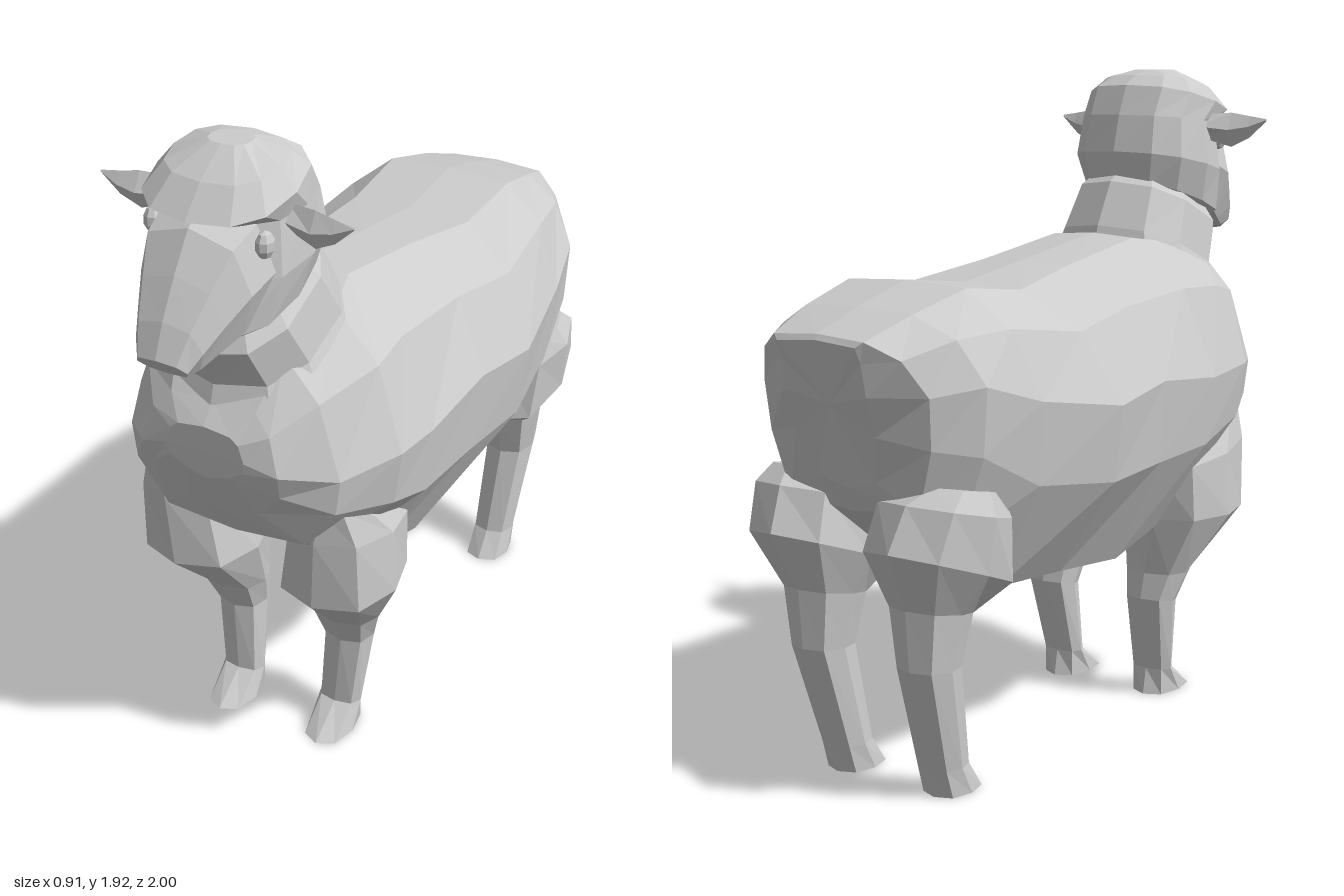
import * as THREE from 'three';

const wool = new THREE.MeshStandardMaterial({ color: 0xcccccc, flatShading: true });
wool.name = 'pale grey';

// Ring in the plane of the x axis and the line a-b; a and b are [y, z].
function ring(a, b, halfWidth, cx = 0, n = 8) {
  const points = [];
  for (let i = 0; i < n; i++) {
    const t = (i / n) * Math.PI * 2, s = Math.sin(t), c = Math.cos(t);
    const k = 0.5 + 0.5 * Math.sign(c) * Math.pow(Math.abs(c), 0.8);
    points.push([
      cx + halfWidth * Math.sign(s) * Math.pow(Math.abs(s), 0.8),
      b[0] + (a[0] - b[0]) * k,
      b[1] + (a[1] - b[1]) * k,
    ]);
  }
  return points;
}

// Twelve-sided body ring: flat back, bulging flank and narrower flat belly.
function bodyRing([topZ, top, ridge, midZ, mid, wide, lowZ, low, belly]) {
  const mix = THREE.MathUtils.lerp;
  const half = [
    [0, top, topZ],
    [ridge, top - 0.01, topZ],
    [mix(ridge, wide, 0.62), mix(top, mid, 0.37), mix(topZ, midZ, 0.5)],
    [wide, mid, midZ],
    [mix(wide, belly, 0.13), mix(mid, low, 0.42), mix(midZ, lowZ, 0.5)],
    [belly, low + 0.02, lowZ],
    [0, low, lowZ],
  ];
  return [...half, ...half.slice(1, -1).reverse().map(([x, y, z]) => [-x, y, z])];
}

// Skin over a row of rings with closed ends, turned to face outward.
function loft(name, rings) {
  const n = rings[0].length, pos = rings.flat(2), tris = [];
  const middle = (r) => [0, 1, 2].map((k) => r.reduce((sum, p) => sum + p[k], 0) / n);
  const first = rings.length * n, last = first + 1;
  pos.push(...middle(rings[0]), ...middle(rings[rings.length - 1]));
  for (let i = 0; i < n; i++) {
    const j = (i + 1) % n;
    for (let r = 0; r < rings.length - 1; r++) {
      const a = r * n + i, b = r * n + j;
      tris.push([a, b, b + n], [a, b + n, a + n]);
    }
    const end = (rings.length - 1) * n;
    tris.push([first, j, i], [last, end + i, end + j]);
  }
  const v = (i) => new THREE.Vector3(pos[i * 3], pos[i * 3 + 1], pos[i * 3 + 2]);
  let volume = 0;
  for (const [a, b, c] of tris) volume += v(a).dot(v(b).cross(v(c)));
  if (volume < 0) tris.forEach((t) => t.reverse());
  const geometry = new THREE.BufferGeometry();
  geometry.setAttribute('position', new THREE.Float32BufferAttribute(pos, 3));
  geometry.setIndex(tris.flat());
  geometry.computeVertexNormals();
  const mesh = new THREE.Mesh(geometry, wool);
  mesh.name = name;
  return mesh;
}

export function createModel() {
  const model = new THREE.Group();
  model.name = 'sheep';

  // Fleecy body, rump to chest: z, height and half width of back, flank, belly
  model.add(loft('body', [
    [-1, 1.26, 0.13, -0.97, 1.12, 0.14, -0.89, 0.86, 0.1],
    [-0.99, 1.275, 0.15, -0.89, 1.12, 0.28, -0.86, 0.79, 0.22],
    [-0.83, 1.33, 0.18, -0.76, 1.14, 0.365, -0.76, 0.7, 0.27],
    [-0.63, 1.38, 0.2, -0.57, 1.08, 0.405, -0.54, 0.53, 0.24],
    [-0.37, 1.35, 0.19, -0.26, 1.03, 0.455, -0.25, 0.51, 0.24],
    [-0.08, 1.39, 0.15, 0, 1.06, 0.43, 0.04, 0.485, 0.24],
    [0.27, 1.44, 0.14, 0.3, 1.03, 0.42, 0.28, 0.545, 0.24],
    [0.43, 1.42, 0.19, 0.48, 1.05, 0.42, 0.47, 0.66, 0.22],
    [0.65, 1.37, 0.16, 0.66, 1.03, 0.33, 0.66, 0.78, 0.22],
    [0.75, 1.24, 0.13, 0.78, 1.07, 0.21, 0.72, 0.88, 0.11],
    [0.8, 1.18, 0.08, 0.8, 1.1, 0.12, 0.795, 1.02, 0.07],
  ].map(bodyRing)));

  // Neck with its collar of wool
  model.add(loft('neck', [
    ring([1.2, 0.77], [1.4, 0.28], 0.25, 0, 10),
    ring([1.28, 0.745], [1.46, 0.3], 0.22, 0, 10),
    ring([1.4, 0.81], [1.59, 0.37], 0.195, 0, 10),
    ring([1.46, 0.78], [1.62, 0.42], 0.16, 0, 10),
  ]));

  // Woolly hood from jaw to crown, with a brim over the face
  model.add(loft('hood', [
    ring([1.43, 0.78], [1.55, 0.45], 0.13, 0, 12),
    ring([1.46, 0.82], [1.59, 0.4], 0.185, 0, 12),
    ring([1.6, 0.79], [1.68, 0.385], 0.215, 0, 12),
    ring([1.755, 0.76], [1.79, 0.415], 0.2, 0, 12),
    ring([1.78, 0.845], [1.88, 0.455], 0.205, 0, 12),
    ring([1.86, 0.77], [1.91, 0.51], 0.16, 0, 12),
    ring([1.925, 0.67], [1.925, 0.57], 0.06, 0, 12),
  ]));

  // Long face tapering to the nose
  model.add(loft('face', [
    ring([1.8, 0.74], [1.47, 0.66], 0.18),
    ring([1.76, 0.83], [1.44, 0.78], 0.165),
    ring([1.66, 0.9], [1.42, 0.85], 0.13),
    ring([1.56, 0.96], [1.405, 0.91], 0.1),
    ring([1.47, 1], [1.405, 0.94], 0.075),
  ]));

  // Leg rings: front [y, z], back [y, z], half width, centre x
  const frontLeg = [
    [[0.91, 0.64], [0.91, 0.47], 0.07, 0.26],
    [[0.8, 0.65], [0.74, 0.25], 0.14, 0.24],
    [[0.58, 0.64], [0.58, 0.26], 0.165, 0.225],
    [[0.4, 0.45], [0.4, 0.28], 0.1, 0.19],
    [[0.3, 0.4], [0.32, 0.27], 0.077, 0.183],
    [[0.08, 0.41], [0.08, 0.33], 0.067, 0.168],
    [[0, 0.525], [0, 0.315], 0.067, 0.168],
  ];
  const hindLeg = [
    [[0.84, -0.62], [0.88, -0.84], 0.1, 0.25],
    [[0.76, -0.58], [0.84, -0.91], 0.165, 0.215],
    [[0.57, -0.545], [0.72, -0.967], 0.165, 0.2],
    [[0.51, -0.66], [0.55, -0.88], 0.1, 0.185],
    [[0.37, -0.695], [0.38, -0.867], 0.077, 0.185],
    [[0.08, -0.64], [0.08, -0.77], 0.065, 0.17],
    [[0, -0.58], [0, -0.75], 0.067, 0.17],
  ];

  for (const [side, s] of [['left', 1], ['right', -1]]) {
    for (const [name, rows] of [['FrontLeg', frontLeg], ['HindLeg', hindLeg]]) {
      model.add(loft(side + name, rows.map(([a, b, w, cx]) => ring(a, b, w, s * cx))));
    }

    // Drooping leaf-shaped ear
    const earRing = (x, top, low, front, back) => [
      [s * x, top, (front + back) / 2], [s * x, (top + low) / 2, front],
      [s * x, low, (front + back) / 2], [s * x, (top + low) / 2, back],
    ];
    model.add(loft(side + 'Ear', [
      earRing(0.17, 1.79, 1.715, 0.67, 0.6),
      earRing(0.26, 1.795, 1.69, 0.685, 0.625),
      earRing(0.32, 1.785, 1.72, 0.68, 0.645),
      earRing(0.375, 1.777, 1.77, 0.668, 0.662),
    ]));

    // Eye
    const eye = new THREE.Mesh(new THREE.SphereGeometry(0.032, 8, 5), wool);
    eye.name = side + 'Eye';
    eye.scale.set(0.8, 1.2, 0.9);
    eye.position.set(s * 0.165, 1.715, 0.74);
    model.add(eye);
  }
  return model;
}
